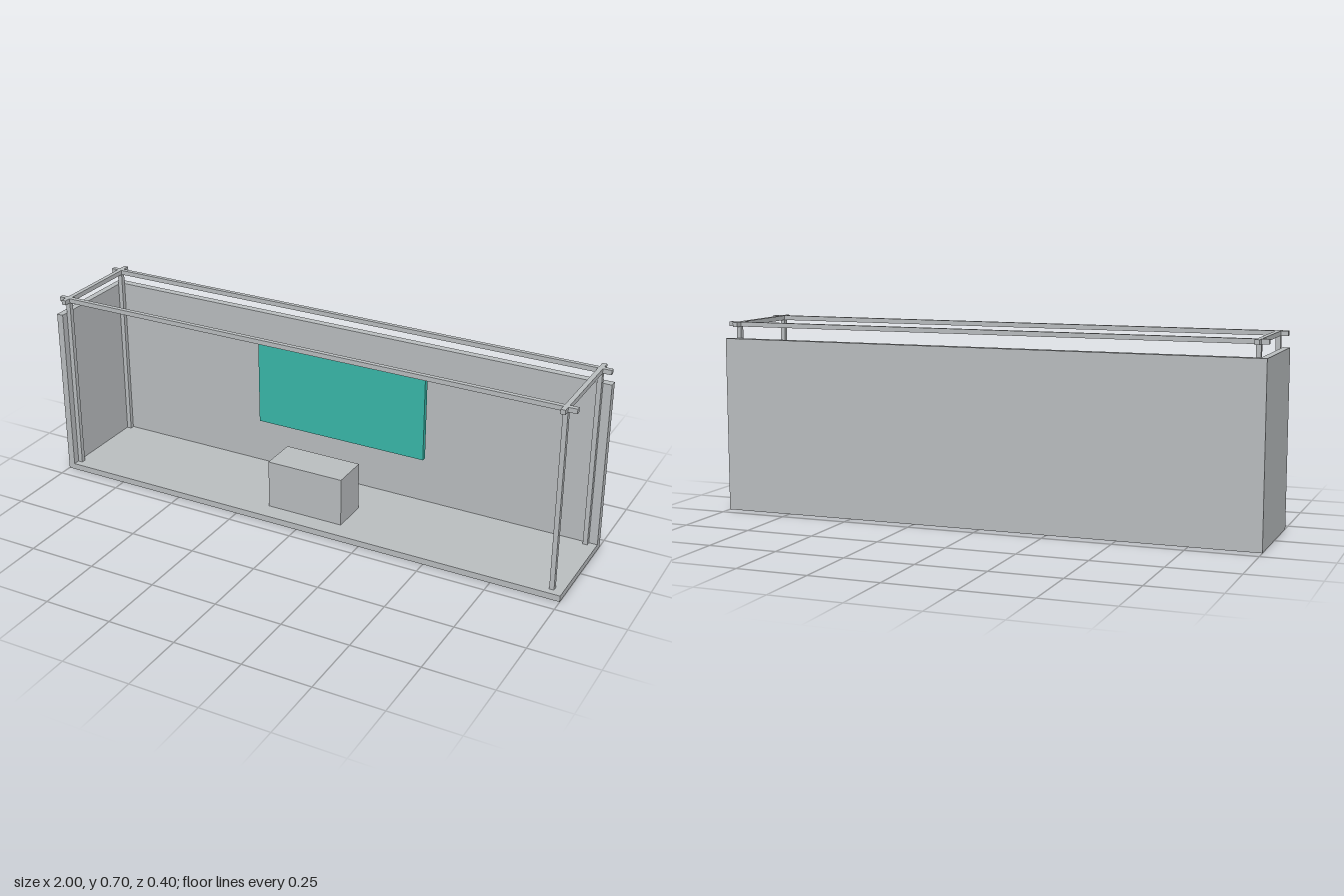
import * as THREE from 'three';

export function createModel() {
  const model = new THREE.Group();
  model.name = 'exhibitionBooth';

  const grey = new THREE.MeshStandardMaterial({ color: 0xbcc0c2 });
  grey.name = 'light grey';
  const teal = new THREE.MeshStandardMaterial({ color: 0x3abaab });
  teal.name = 'teal';

  // Box given by its two extents on each axis
  function block(name, [x0, x1], [y0, y1], [z0, z1], material = grey, parent = model) {
    const mesh = new THREE.Mesh(new THREE.BoxGeometry(x1 - x0, y1 - y0, z1 - z0), material);
    mesh.position.set((x0 + x1) / 2, (y0 + y1) / 2, (z0 + z1) / 2);
    mesh.name = name;
    parent.add(mesh);
    return mesh;
  }

  // Floor with a back wall and one end wall; the +x end stays open
  const floorTop = 0.023, wallTop = 0.64;
  block('floor', [-1, 1], [0, floorTop], [-0.172, 0.2]);
  block('backWall', [-1, 1], [0, wallTop], [-0.2, -0.172]);
  block('endWall', [-1, -0.975], [floorTop, wallTop], [-0.172, 0.2]);

  // Counter and hanging screen
  block('counter', [-0.15, 0.145], [floorTop, 0.205], [-0.009, 0.131]);
  block('screen', [-0.34, 0.34], [0.211, 0.532], [-0.152, -0.133], teal);

  // Frame of four posts and four rails that cross past each other at the corners
  const frame = new THREE.Group();
  frame.name = 'frame';
  model.add(frame);
  const top = 0.7, railBottom = 0.683;
  const xBars = [[-0.974, -0.957], [0.952, 0.969]];
  const zBars = [[-0.171, -0.155], [0.158, 0.175]];
  for (const x of xBars) {
    for (const z of zBars) block('post', x, [floorTop, top], z, grey, frame);
    block('sideRail', x, [railBottom, top], [-0.2, 0.2], grey, frame);
  }
  for (const z of zBars) block('longRail', [-1, 1], [railBottom, top], z, grey, frame);

  return model;
}
